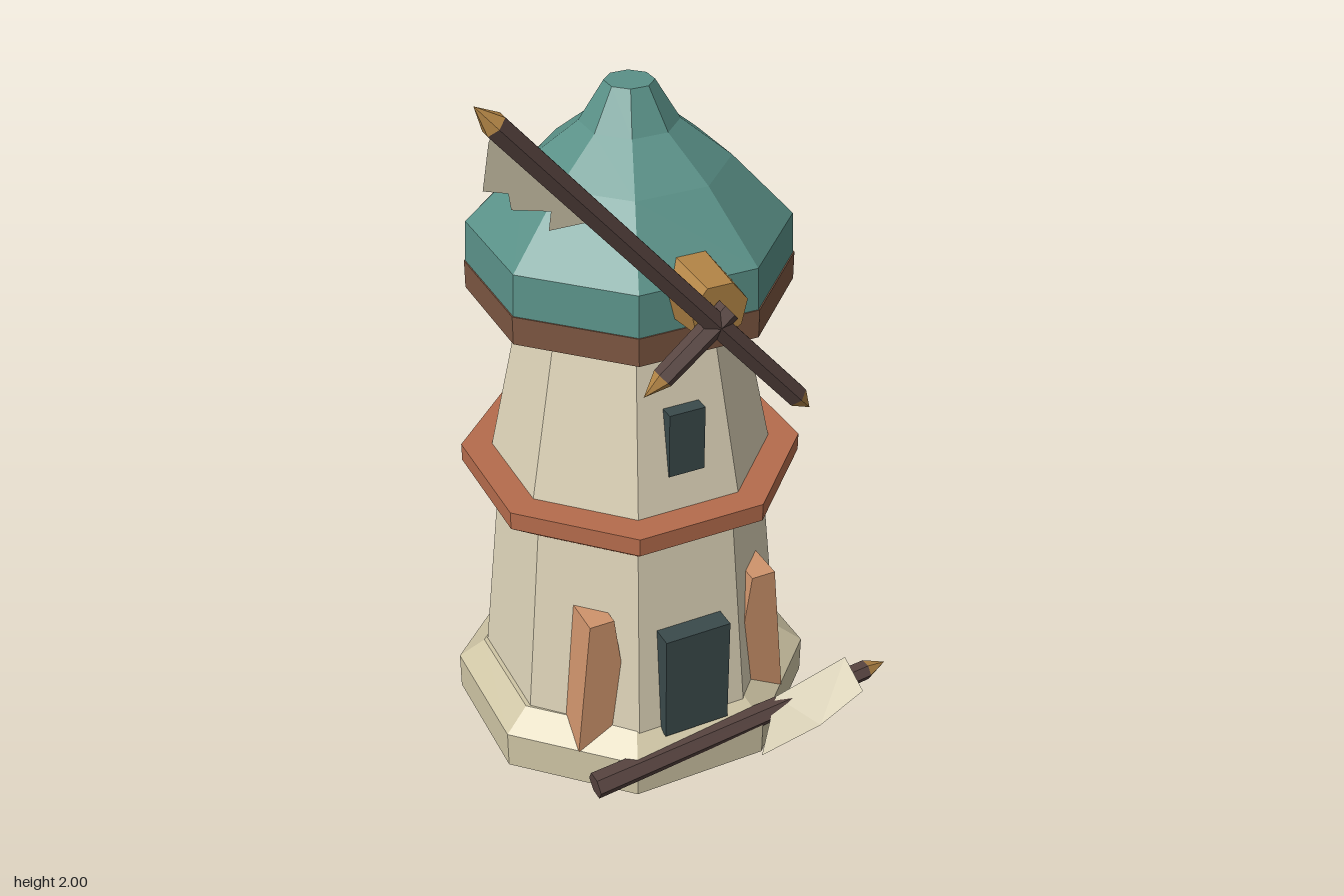
import * as THREE from 'three';

const mat = (name, color, side = THREE.FrontSide) => {
  const m = new THREE.MeshStandardMaterial({ color, side });
  m.name = name;
  return m;
};

// Faceted copy of a geometry
const facet = (g) => {
  const f = g.index ? g.toNonIndexed() : g;
  f.computeVertexNormals();
  return f;
};

const add = (parent, name, geo, material) => {
  const mesh = new THREE.Mesh(facet(geo), material);
  mesh.name = name;
  parent.add(mesh);
  return mesh;
};

// Octagonal ring profile given as [half width across flats, y], bottom to top
const octagon = (profile) => new THREE.LatheGeometry(
  profile.map(([a, y]) => new THREE.Vector2(a / Math.cos(Math.PI / 8), y)), 8, Math.PI / 8);

const box = (x0, x1, y0, y1, z0, z1) =>
  new THREE.BoxGeometry(x1 - x0, y1 - y0, z1 - z0)
    .translate((x0 + x1) / 2, (y0 + y1) / 2, (z0 + z1) / 2);

export function createModel() {
  const stone = mat('pale plaster', 0xddd3b8);
  const footing = mat('footing stone', 0xcfc5a5);
  const teal = mat('teal roof', 0x5a9188);
  const brown = mat('brown eave', 0x7c5641);
  const rust = mat('rust gallery', 0xb56c4c);
  const tan = mat('buttress tan', 0xcf946c);
  const dark = mat('dark opening', 0x3a4a4b);
  const wood = mat('dark wood', 0x56433f);
  const gold = mat('hub wood', 0xb28445);
  const cloth = mat('sail cloth', 0xd2c9ae, THREE.DoubleSide);

  const model = new THREE.Group();
  model.name = 'windmill';
  const tower = new THREE.Group();
  tower.name = 'tower';
  tower.position.set(-0.013, 0, -0.044);
  model.add(tower);

  // Stacked octagonal body
  add(tower, 'footing', octagon([[0.0001, 0], [0.422, 0], [0.422, 0.105], [0.36, 0.158], [0.3, 0.158]]), footing).scale.x = 1.048;
  add(tower, 'lowerWall', octagon([[0.368, 0.14], [0.318, 0.69]]), stone);
  add(tower, 'gallery', octagon([[0.315, 0.68], [0.402, 0.752], [0.402, 0.8], [0.3, 0.8]]), rust);
  add(tower, 'upperWall', octagon([[0.331, 0.79], [0.25, 1.21]]), stone);
  add(tower, 'eave', octagon([[0.24, 1.197], [0.37, 1.258], [0.37, 1.33], [0.355, 1.33]]), brown);
  add(tower, 'roof', octagon([[0.367, 1.33], [0.362, 1.435], [0.223, 1.592], [0.11, 1.688], [0.055, 1.785], [0.0001, 1.785]]), teal);

  // Openings
  add(model, 'door', box(-0.103, 0.077, 0.14, 0.45, 0.25, 0.351), dark);
  add(model, 'window', box(-0.06, 0.035, 0.89, 1.064, 0.2, 0.271), dark);

  // Tapered buttresses on both front diagonals
  for (const s of [-1, 1]) {
    const g = box(-1, 1, 0.105, 0.5, 0.08, 0.27);
    const p = g.attributes.position;
    for (let i = 0; i < p.count; i++) {
      const top = p.getY(i) > 0.3;
      p.setX(i, s * (top ? 0.229 : 0.222) + p.getX(i) * (top ? 0.033 : 0.078) - 0.013);
    }
    add(model, s < 0 ? 'rightButtress' : 'leftButtress', g, tan);
  }

  // Hub
  const hub = new THREE.CylinderGeometry(0.072, 0.092, 0.22, 7).rotateX(Math.PI / 2);
  add(model, 'hub', hub, gold).position.set(-0.013, 1.408, 0.305);

  // Six-sided spar from a to b, with optional pointed tips
  const spar = (name, a, b, ra, rb, tipA, tipB) => {
    const A = new THREE.Vector3(...a), B = new THREE.Vector3(...b);
    const dir = B.clone().sub(A), len = dir.length(), tip = 0.06;
    const s0 = tipA ? tip : 0, s1 = tipB ? len - tip : len;
    const g = new THREE.Group();
    g.name = name;
    g.position.copy(A);
    g.quaternion.setFromUnitVectors(new THREE.Vector3(0, 1, 0), dir.normalize());
    add(g, name + 'Beam', new THREE.CylinderGeometry(rb, ra, s1 - s0, 6).translate(0, (s0 + s1) / 2, 0), wood);
    if (tipA) add(g, name + 'Tip', new THREE.ConeGeometry(ra, tip, 6).rotateX(Math.PI).translate(0, tip / 2, 0), gold);
    if (tipB) add(g, name + 'Tip', new THREE.ConeGeometry(rb, tip, 6).translate(0, len - tip / 2, 0), gold);
    model.add(g);
  };
  spar('longSpar', [0.222, 1.105, 0.433], [-0.567, 2, 0.433], 0.029, 0.029, true, true);
  spar('brokenSpar', [0, 1.42, 0.433], [-0.207, 1.248, 0.433], 0.029, 0.026, false, true);
  spar('fallenSpar', [-0.313, 0.073, 0.37], [0.563, 0.14, 0.347], 0.035, 0.027, false, true);

  // Torn sail on the long spar
  const torn = new THREE.Shape([
    [-0.525, 1.95], [-0.54, 1.92], [-0.557, 1.82], [-0.504, 1.804], [-0.499, 1.767],
    [-0.414, 1.746], [-0.42, 1.704], [-0.304, 1.704],
  ].map(([x, y]) => new THREE.Vector2(x, y)));
  add(model, 'tornSail', new THREE.ShapeGeometry(torn).translate(0, 0, 0.433), cloth);

  // Sail scrap lying over the fallen spar
  const scrap = new THREE.BufferGeometry();
  scrap.setAttribute('position', new THREE.Float32BufferAttribute([
    0.125, 0.07, 0.456, 0.3, 0.105, 0.456, 0.425, 0.175, 0.456, 0.435, 0.203, 0.346, 0.225, 0.145, 0.346,
  ], 3));
  scrap.setIndex([0, 1, 4, 1, 3, 4, 1, 2, 3]);
  add(model, 'fallenSail', scrap, cloth);

  return model;
}
